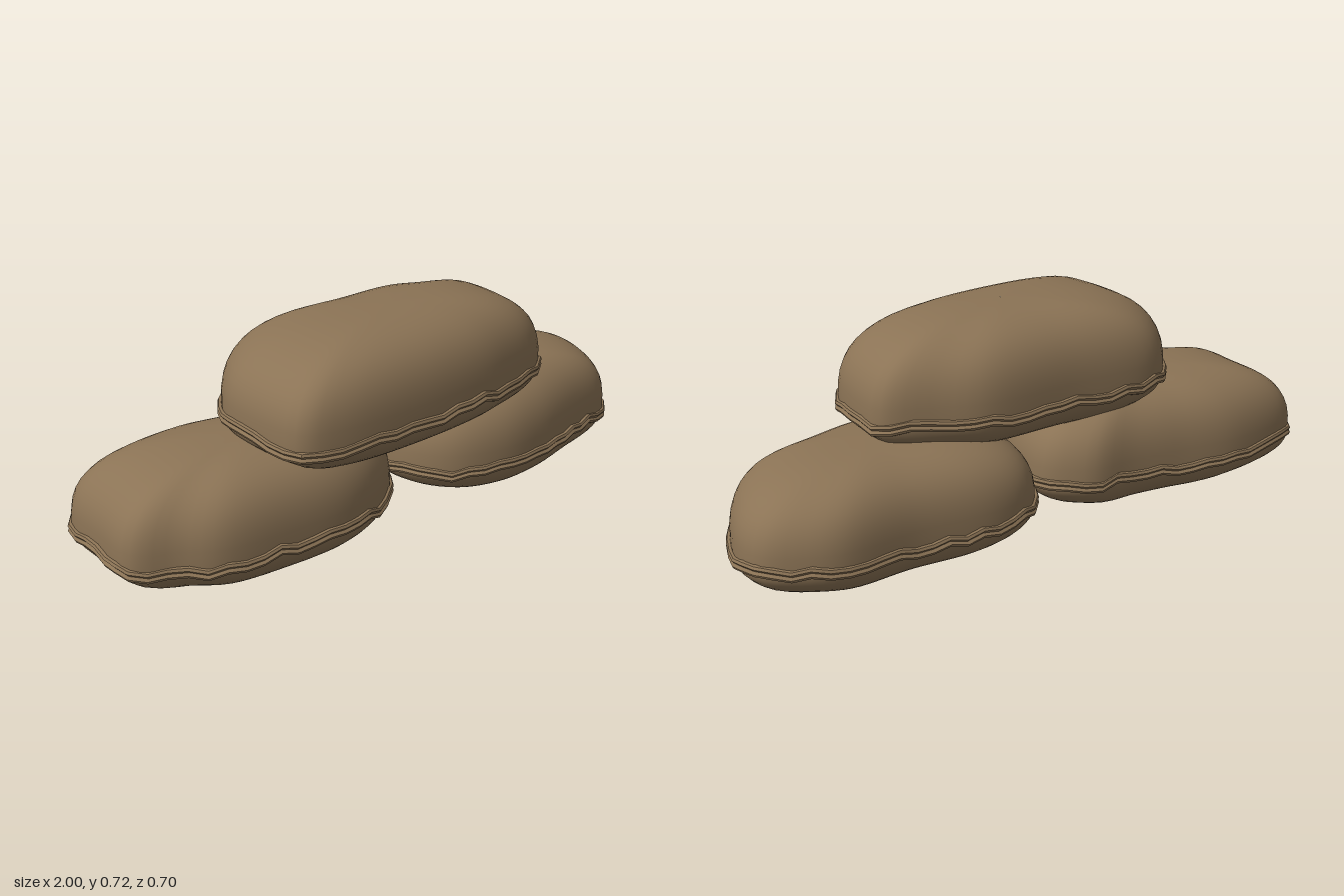
import * as THREE from 'three';
import { toCreasedNormals } from 'three/addons/utils/BufferGeometryUtils.js';

const burlap = new THREE.MeshStandardMaterial({ color: 0x8b7355 });
burlap.name = 'burlap brown';

// Plan outlines [x, z], counterclockwise seen from above
const BAGS = [
  {
    name: 'leftLowerBag', centre: [0.5, -0.04], bottom: 0, seam: 0.15, top: 0.4, seed: 3,
    outline: [[0.01, -0.05], [0.04, 0.08], [0.13, 0.19], [0.3, 0.25], [0.49, 0.245], [0.72, 0.185],
      [0.88, 0.135], [0.92, 0.09], [0.965, 0], [0.995, -0.13], [0.97, -0.23], [0.88, -0.3],
      [0.765, -0.347], [0.51, -0.34], [0.24, -0.351], [0.12, -0.32], [0.055, -0.265], [0.02, -0.18]],
  },
  {
    name: 'rightLowerBag', centre: [-0.5, -0.02], bottom: 0.003, seam: 0.15, top: 0.415, seed: 8,
    outline: [[-0.995, -0.24], [-1, -0.07], [-0.99, 0.1], [-0.88, 0.17], [-0.77, 0.245], [-0.53, 0.277],
      [-0.3, 0.27], [-0.15, 0.21], [-0.04, 0.1], [-0.005, -0.05], [-0.02, -0.18], [-0.11, -0.26],
      [-0.16, -0.28], [-0.29, -0.285], [-0.45, -0.305], [-0.69, -0.337], [-0.96, -0.285]],
  },
  {
    name: 'upperBag', centre: [0, 0.035], bottom: 0.302, seam: 0.445, top: 0.718, seed: 15,
    outline: [[-0.57, 0.05], [-0.545, 0.24], [-0.52, 0.29], [-0.4, 0.33], [-0.1, 0.342], [0.16, 0.32],
      [0.29, 0.29], [0.45, 0.235], [0.52, 0.16], [0.54, -0.08], [0.52, -0.13], [0.375, -0.2],
      [0.23, -0.26], [-0.1, -0.262], [-0.4, -0.255], [-0.48, -0.2], [-0.56, -0.06]],
  },
];

function seededRandom(seed) {
  let s = seed * 7919 + 1;
  return () => (s = (s * 16807) % 2147483647) / 2147483647;
}

// Skin closed rings of points, listed from bottom to top
function loft(rings) {
  const n = rings[0].length;
  const index = [];
  for (let i = 0; i < rings.length - 1; i++) {
    for (let j = 0; j < n; j++) {
      const a = i * n + j, b = i * n + (j + 1) % n;
      index.push(a, b, b + n, a, b + n, a + n);
    }
  }
  const geometry = new THREE.BufferGeometry();
  geometry.setAttribute('position', new THREE.Float32BufferAttribute(rings.flat(2), 3));
  geometry.setIndex(index);
  geometry.computeVertexNormals();
  return geometry;
}

function makeBag({ name, centre, bottom, seam, top, seed, outline }) {
  const [cx, cz] = centre;
  const curve = new THREE.CatmullRomCurve3(outline.map(([x, z]) => new THREE.Vector3(x, 0, z)), true);
  // Outline offset towards the centre, as [dx, dz] from the centre
  const plan = (count, inset) => curve.getSpacedPoints(count).slice(0, count).map((p) => {
    const dx = p.x - cx, dz = p.z - cz;
    const k = 1 - inset / Math.hypot(dx, dz);
    return [dx * k, dz * k];
  });
  const group = new THREE.Group();
  group.name = name;

  // Stuffed body: shallow rounded underside, fuller and boxier upper side
  const base = plan(80, 0.012);
  const rings = [];
  const steps = 14;
  for (let i = -steps; i <= steps; i++) {
    const t = Math.abs(i) / steps * Math.PI / 2;
    const power = i < 0 ? 2 / 2.05 : 2 / 2.9;
    const scale = Math.max(0.002, Math.pow(Math.max(0, Math.cos(t)), power));
    const rise = Math.pow(Math.sin(t), power);
    const y = seam + rise * (i < 0 ? bottom - seam : top - seam);
    rings.push(base.map(([dx, dz]) => [cx + dx * scale, y, cz + dz * scale]));
  }
  const body = new THREE.Mesh(loft(rings), burlap);
  body.name = 'stuffedBody';
  group.add(body);

  // Puckered seam: a double ridge wandering up and down around the bag
  const count = 48;
  const random = seededRandom(seed);
  const wave = Array.from({ length: count }, (_, i) =>
    (random() - 0.5) * 0.02 + 0.005 * Math.sin(i / count * Math.PI * 6 + seed));
  const section = [[0.022, -0.02], [0.004, -0.016], [0, -0.008], [0.007, 0], [0, 0.008], [0.004, 0.016], [0.022, 0.02]];
  const ridgeRings = section.map(([inset, dy]) =>
    plan(count, inset).map(([dx, dz], i) => [cx + dx, seam + dy + wave[i], cz + dz]));
  const ridge = new THREE.Mesh(toCreasedNormals(loft(ridgeRings), 0.6), burlap);
  ridge.name = 'seam';
  group.add(ridge);
  return group;
}

export function createModel() {
  const model = new THREE.Group();
  model.name = 'sandbagPile';
  BAGS.forEach((bag) => model.add(makeBag(bag)));
  return model;
}
